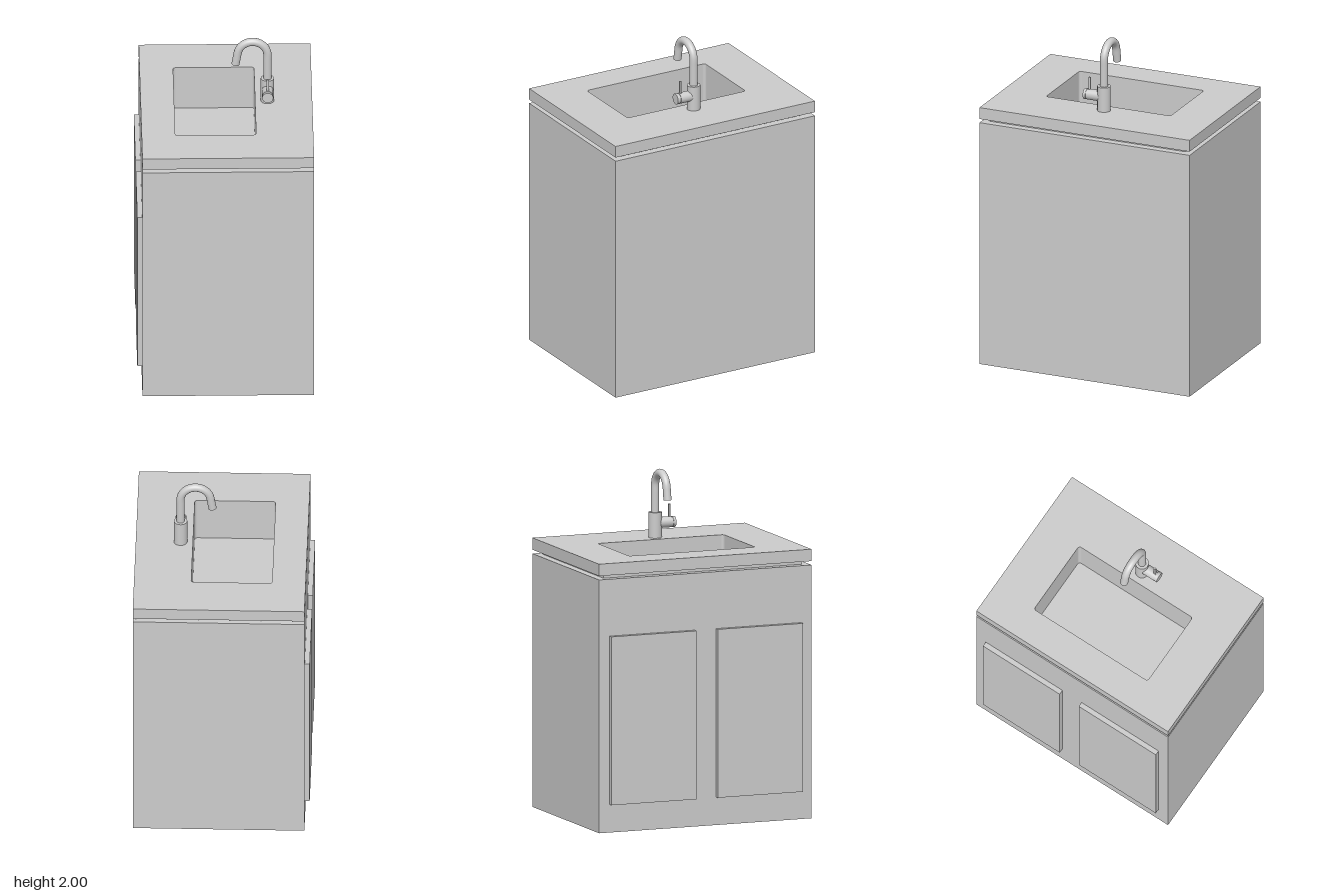
import * as THREE from 'three';

const grey = new THREE.MeshStandardMaterial({ color: 0xcccccc });

// Cabinet footprint and sink opening: [x0, x1, z0, z1]
const BODY = [-0.485, 0.512, -0.672, 0.668];
const SINK = [-0.29, 0.18, -0.4, 0.394];
const inset = ([x0, x1, z0, z1], d) => [x0 + d, x1 - d, z0 + d, z1 - d];

function add(parent, name, geometry, x = 0, y = 0, z = 0) {
  const mesh = new THREE.Mesh(geometry, grey);
  mesh.name = name;
  mesh.position.set(x, y, z);
  parent.add(mesh);
  return mesh;
}

// Rectangle in plan; shape y is -z so that it can be turned flat
function rect(path, [x0, x1, z0, z1]) {
  path.moveTo(x0, -z1);
  path.lineTo(x1, -z1);
  path.lineTo(x1, -z0);
  path.lineTo(x0, -z0);
  path.closePath();
  return path;
}

// Sink opening with small rounded corners
function sinkOutline(path) {
  const [x0, x1, z0, z1] = SINK;
  const r = 0.016;
  path.moveTo(x0 + r, -z1);
  path.absarc(x1 - r, -z1 + r, r, -Math.PI / 2, 0);
  path.absarc(x1 - r, -z0 - r, r, 0, Math.PI / 2);
  path.absarc(x0 + r, -z0 - r, r, Math.PI / 2, Math.PI);
  path.absarc(x0 + r, -z1 + r, r, Math.PI, Math.PI * 1.5);
  return path;
}

function holedShape(bounds) {
  const shape = rect(new THREE.Shape(), bounds);
  shape.holes.push(sinkOutline(new THREE.Path()));
  return shape;
}

// Flat slab with the sink opening cut through it
function slab(bounds, height) {
  return new THREE.ExtrudeGeometry(holedShape(bounds), { depth: height, bevelEnabled: false, curveSegments: 5 })
    .rotateX(-Math.PI / 2);
}

function box([x0, x1, z0, z1], y0, y1) {
  return new THREE.BoxGeometry(x1 - x0, y1 - y0, z1 - z0)
    .translate((x0 + x1) / 2, (y0 + y1) / 2, (z0 + z1) / 2);
}

function makeFaucet() {
  const faucet = new THREE.Group();
  faucet.name = 'faucet';
  faucet.position.set(0.252, 0, -0.008);

  add(faucet, 'faucetBase', new THREE.CylinderGeometry(0.039, 0.039, 0.15, 32), 0, 1.66, 0);

  // Side valve with a fine groove near its end
  const profile = [[0, 0], [0.032, 0], [0.032, 0.1], [0.029, 0.1], [0.029, 0.106], [0.032, 0.106], [0.032, 0.122], [0, 0.122]];
  const valve = new THREE.Group();
  valve.name = 'valve';
  for (let i = 0; i < profile.length - 1; i++) {
    const pts = [profile[i], profile[i + 1]].map(p => new THREE.Vector2(...p));
    add(valve, 'valveSection', new THREE.LatheGeometry(pts, 32).rotateX(Math.PI / 2));
  }
  valve.position.y = 1.67;
  faucet.add(valve);
  add(faucet, 'lever', new THREE.BoxGeometry(0.012, 0.085, 0.012), 0, 1.733, 0.09);

  // Gooseneck: riser, arc and slightly tilted spout
  const R = 0.087, cx = -R, cy = 1.89, sweep = THREE.MathUtils.degToRad(170);
  const points = [];
  for (let i = 0; i < 4; i++) points.push(new THREE.Vector3(0, 1.72 + i * 0.045, 0));
  for (let i = 0; i <= 14; i++) {
    const a = sweep * i / 14;
    points.push(new THREE.Vector3(cx + R * Math.cos(a), cy + R * Math.sin(a), 0));
  }
  const dir = new THREE.Vector3(-Math.sin(sweep), Math.cos(sweep), 0);
  const arcEnd = points[points.length - 1];
  for (const d of [0.025, 0.05, 0.076]) points.push(arcEnd.clone().addScaledVector(dir, d));
  add(faucet, 'gooseneck', new THREE.TubeGeometry(new THREE.CatmullRomCurve3(points), 64, 0.0235, 24));
  const tip = points[points.length - 1];
  const cap = add(faucet, 'spoutEnd', new THREE.CircleGeometry(0.0235, 24), tip.x, tip.y, tip.z);
  cap.quaternion.setFromUnitVectors(new THREE.Vector3(0, 0, 1), dir);
  return faucet;
}

export function createModel() {
  const model = new THREE.Group();
  model.name = 'sinkCabinet';

  // Cabinet body: box with its top replaced by a face that has the opening
  const body = box(BODY, 0, 1.492);
  const index = Array.from(body.index.array);
  index.splice(12, 6);
  body.setIndex(index);
  body.clearGroups();
  add(model, 'cabinetBody', body);
  add(model, 'cabinetTop', new THREE.ShapeGeometry(holedShape(BODY), 5).rotateX(-Math.PI / 2), 0, 1.492, 0);

  // Recessed gap and countertop
  add(model, 'recessedNeck', slab(inset(BODY, 0.046), 0.023), 0, 1.492, 0);
  add(model, 'countertop', slab(BODY, 0.07), 0, 1.515, 0);

  // Basin sunk into the body
  add(model, 'basinWalls', slab(inset(SINK, -0.02), 0.177), 0, 1.315, 0);
  add(model, 'basinFloor', box(inset(SINK, -0.02), 1.295, 1.315));

  // Pair of doors on the -x side
  for (const [z0, z1] of [[-0.606, -0.07], [0.064, 0.602]]) {
    add(model, 'door', box([-0.514, -0.485, z0, z1], 0.165, 1.157));
  }

  model.add(makeFaucet());
  return model;
}
